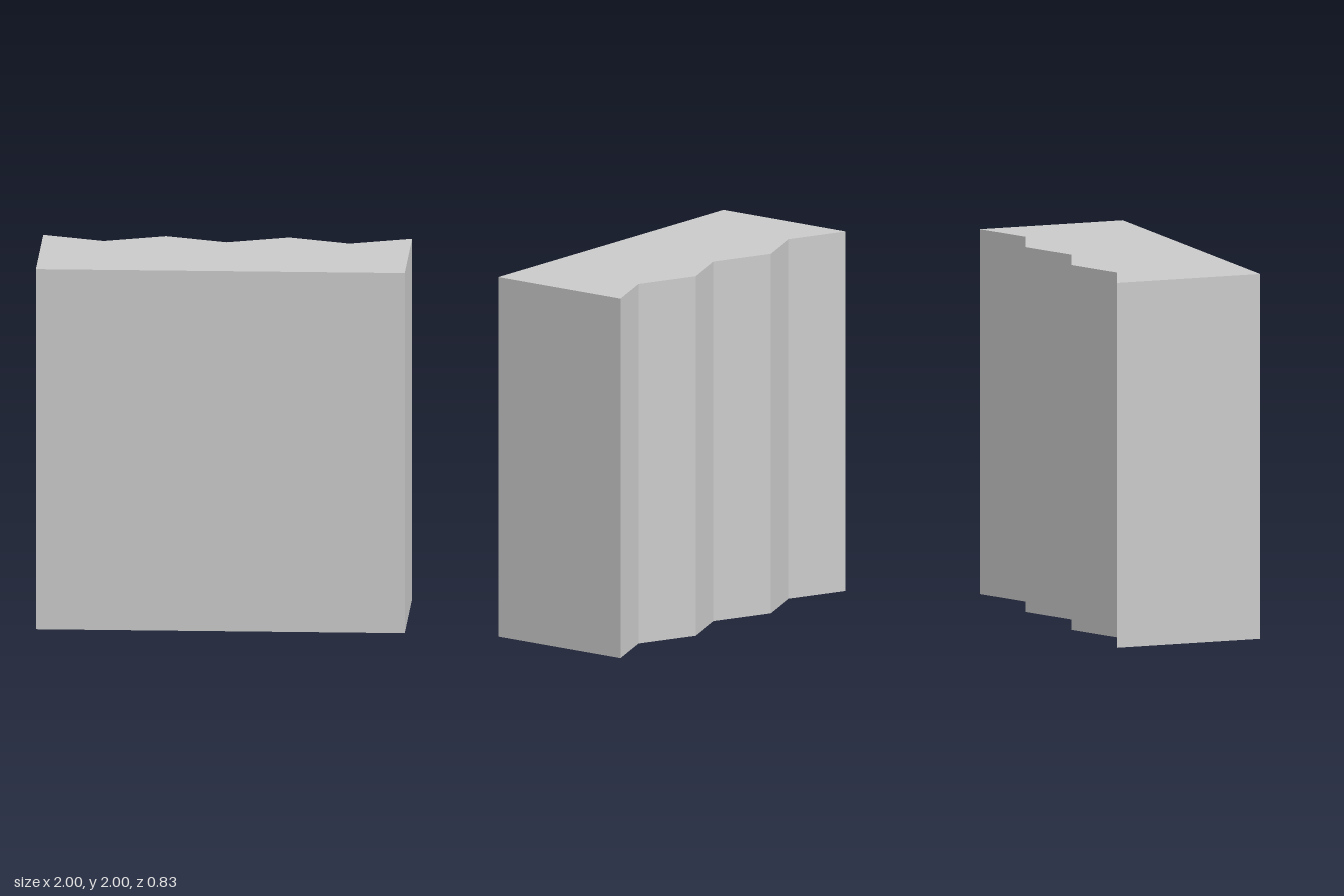
import * as THREE from 'three';

const HALF_DEPTH = 0.417; // front face and back ridges
const VALLEY = 0.284;     // back grooves
const FOLDS = 6;          // slanted panels along the back

export function createModel() {
  const model = new THREE.Group();
  model.name = 'pleatedBlock';

  // Footprint: straight front edge, zigzag back edge (shape y is -z)
  const footprint = new THREE.Shape();
  footprint.moveTo(-1, -HALF_DEPTH);
  footprint.lineTo(1, -HALF_DEPTH);
  for (let i = 0; i <= FOLDS; i++) {
    footprint.lineTo(1 - (2 * i) / FOLDS, i % 2 ? VALLEY : HALF_DEPTH);
  }
  footprint.closePath();

  // Raise the footprint into an upright block
  const geometry = new THREE.ExtrudeGeometry(footprint, { depth: 2, bevelEnabled: false });
  geometry.rotateX(-Math.PI / 2);

  const block = new THREE.Mesh(
    geometry,
    new THREE.MeshStandardMaterial({ color: 0xcccccc, flatShading: true })
  );
  block.name = 'block';
  model.add(block);
  return model;
}
